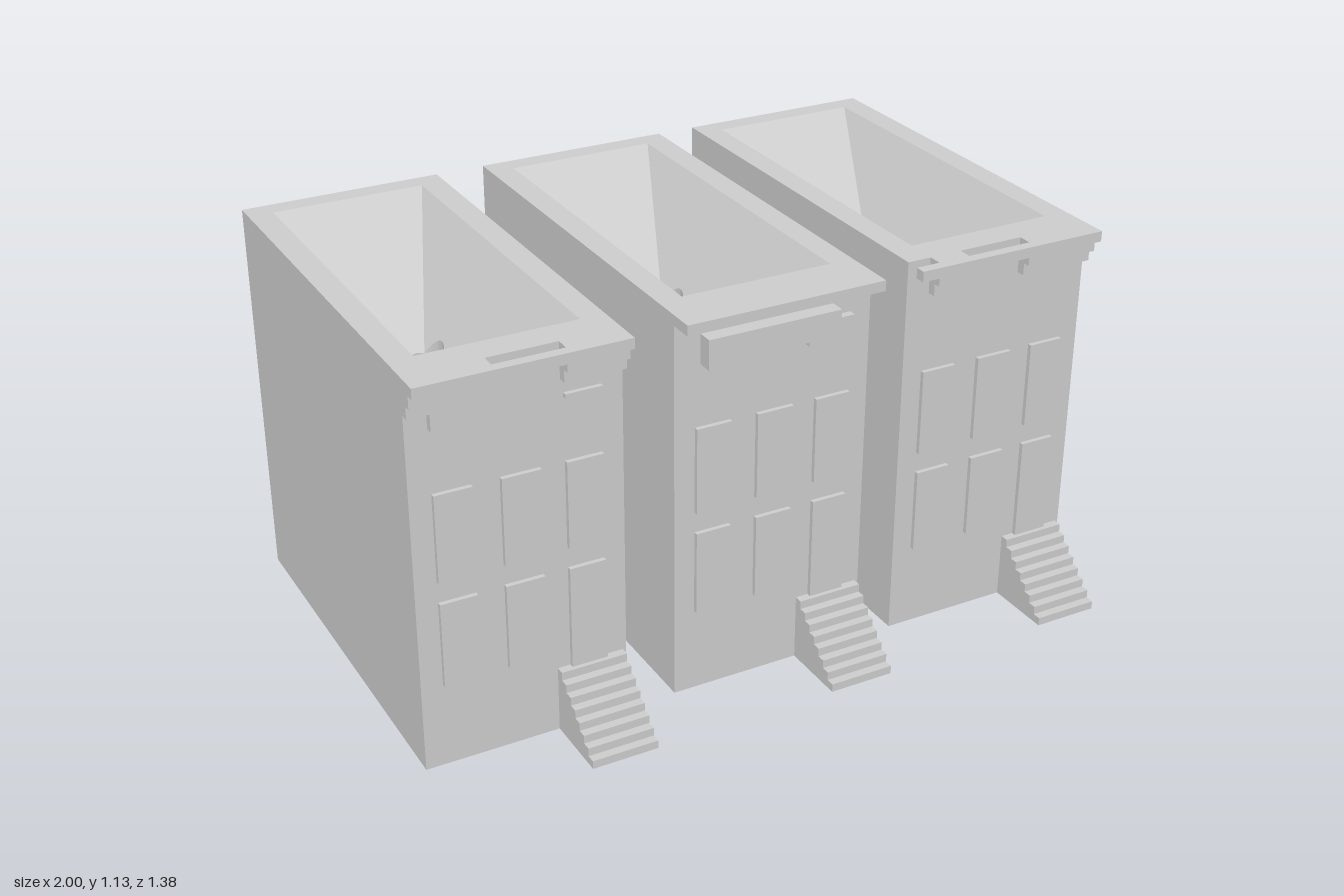
import * as THREE from 'three';
import { toCreasedNormals } from 'three/addons/utils/BufferGeometryUtils.js';

const material = new THREE.MeshStandardMaterial({ color: 0xcccccc });
const H = 1.13, FRONT = 0.49, BACK = -0.69, HALF = 0.29;
const HOLE_Z = -0.115, HOLE_R = 0.055;
const OPEN_X = 0.22, OPEN_Z = 0.515, FUNNEL = 0.32;

// Box from its minimum and maximum on each axis
function box(parent, name, x0, x1, y0, y1, z0, z1) {
  const mesh = new THREE.Mesh(new THREE.BoxGeometry(x1 - x0, y1 - y0, z1 - z0), material);
  mesh.position.set((x0 + x1) / 2, (y0 + y1) / 2, (z0 + z1) / 2);
  mesh.name = name;
  parent.add(mesh);
}

// Hollow block: rings are swept from the drain over the outer walls and down the funnel
function blockGeometry() {
  const back = BACK - HOLE_Z, front = FRONT - HOLE_Z;
  const angles = [];
  for (let i = 0; i < 48; i++) angles.push((i / 48) * Math.PI * 2);
  for (const sx of [-1, 1]) {
    for (const z of [back, front, -OPEN_Z, OPEN_Z]) {
      const a = Math.atan2(z, sx * (Math.abs(z) === OPEN_Z ? OPEN_X : HALF));
      angles.push((a + Math.PI * 2) % (Math.PI * 2));
    }
  }
  angles.sort((a, b) => a - b);

  const reach = (c, s, hx, z0, z1) => Math.min(
    hx / Math.max(Math.abs(c), 1e-9),
    (s > 0 ? z1 : -z0) / Math.max(Math.abs(s), 1e-9));
  const rings = angles.map((t) => {
    const c = Math.cos(t), s = Math.sin(t);
    const at = (r, y) => [c * r, y, s * r + HOLE_Z];
    const outer = reach(c, s, HALF, back, front);
    const inner = reach(c, s, OPEN_X, -OPEN_Z, OPEN_Z);
    return [
      at(HOLE_R, 0), at(outer, 0), at(outer, H), at(inner, H),
      at(HOLE_R, H - FUNNEL * (1 - HOLE_R / inner)), at(HOLE_R, 0),
    ];
  });

  const pos = [];
  rings.forEach((p, i) => {
    const q = rings[(i + 1) % rings.length];
    for (let k = 0; k < 5; k++) {
      pos.push(...p[k], ...p[k + 1], ...q[k + 1], ...p[k], ...q[k + 1], ...q[k]);
    }
  });
  const geo = new THREE.BufferGeometry();
  geo.setAttribute('position', new THREE.Float32BufferAttribute(pos, 3));
  return toCreasedNormals(geo, 0.4);
}

// Stair side profile extruded across its width
function stairsGeometry() {
  const steps = 8, rise = 0.192 / steps, run = 0.2 / steps;
  const shape = new THREE.Shape();
  shape.moveTo(0, 0);
  shape.lineTo(0.2, 0);
  for (let i = 0; i < steps; i++) {
    shape.lineTo(0.2 - i * run, (i + 1) * rise);
    shape.lineTo(0.2 - (i + 1) * run, (i + 1) * rise);
  }
  const geo = new THREE.ExtrudeGeometry(shape, { depth: 0.19, bevelEnabled: false });
  return geo.rotateY(-Math.PI / 2).translate(0.28, 0, FRONT);
}

// Two stepped mouldings below the cornice
function moulding(parent, x0, x1) {
  box(parent, 'upperMoulding', x0, x1, 1.063, 1.1, FRONT, 0.535);
  box(parent, 'lowerMoulding', x0, x1, 1.028, 1.063, FRONT, 0.515);
}

// Cornice slab; only the given spans join its front edge to the wall
function cornice(parent, spans) {
  box(parent, 'corniceEdge', -HALF, HALF, 1.1, H, 0.53, 0.56);
  for (const [a, b] of spans) box(parent, 'corniceSlab', a, b, 1.1, H, FRONT, 0.53);
}

export function createModel() {
  const model = new THREE.Group();
  model.name = 'rowHousePlanters';
  const block = blockGeometry();
  const stairs = stairsGeometry();

  const houses = [-0.71, 0.015, 0.71].map((x, i) => {
    const house = new THREE.Group();
    house.name = ['rightHouse', 'middleHouse', 'leftHouse'][i];
    house.position.x = x;
    model.add(house);

    const body = new THREE.Mesh(block, material);
    body.name = 'planterBody';
    const steps = new THREE.Mesh(stairs, material);
    steps.name = 'frontSteps';
    house.add(body, steps);

    // Two rows of raised windows, with the door above the steps
    [[-0.23, -0.127], [-0.05, 0.058], [0.127, 0.23]].forEach(([a, b], col) => {
      box(house, 'upperWindow', a, b, 0.55, 0.8, FRONT, 0.503);
      const door = col === 2;
      box(house, door ? 'door' : 'lowerWindow', a, b, door ? 0.192 : 0.245, 0.49, FRONT, 0.503);
    });
    return house;
  });
  const [right, middle, left] = houses;

  // Right house: cornice with a slot in the middle, mouldings and brackets
  cornice(right, [[-HALF, -0.075], [0.12, HALF]]);
  moulding(right, -HALF, -0.075);
  moulding(right, 0.12, HALF);
  box(right, 'bracket', -0.23, -0.075, 0.978, 1.028, FRONT, 0.512);
  box(right, 'trimBar', 0.127, 0.23, 0.978, 0.99, FRONT, 0.503);

  // Middle house: full cornice over a notched frieze board
  cornice(middle, [[-HALF, HALF]]);
  box(middle, 'friezeBoard', -0.215, 0.175, 0.99, 1.063, FRONT, 0.535);
  box(middle, 'friezeFoot', -0.215, -0.02, 0.978, 0.99, FRONT, 0.535);
  box(middle, 'friezeFoot', 0.08, 0.175, 0.978, 0.99, FRONT, 0.535);
  box(middle, 'friezeEnd', 0.175, 0.23, 0.978, 1.028, FRONT, 0.512);

  // Left house: cornice open at one end and along the middle
  cornice(left, [[-0.22, -0.125], [0.07, HALF]]);
  moulding(left, -0.22, -0.125);
  moulding(left, 0.07, HALF);

  return model;
}
